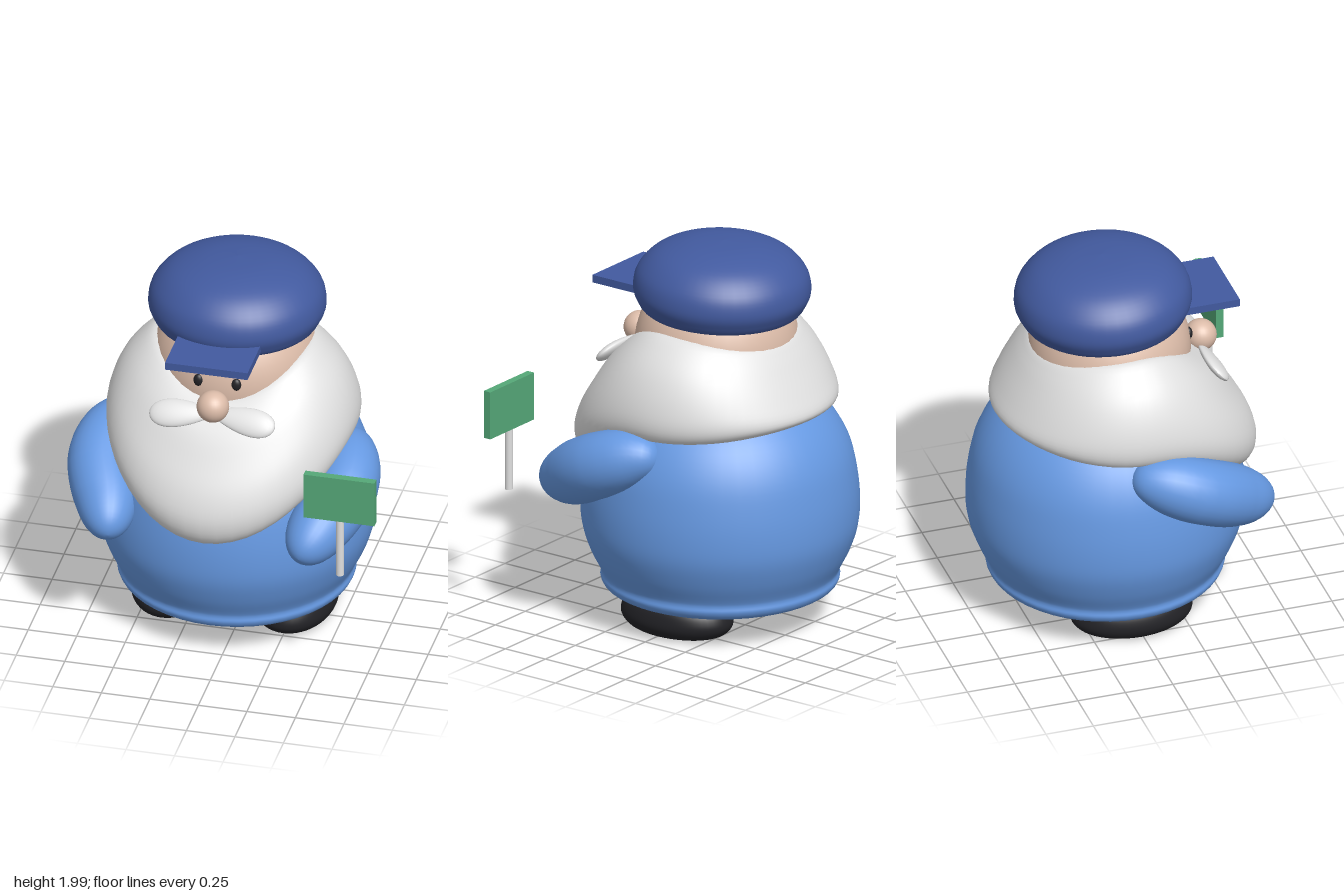
import * as THREE from 'three';

const CX = -0.06; // the figure's own middle plane

const mat = (name, color) => {
  const m = new THREE.MeshStandardMaterial({ color });
  m.name = name;
  return m;
};

// Skin a list of closed rings (each an array of Vector3) into a smooth surface
function loft(rings) {
  const n = rings[0].length, pos = [], idx = [];
  rings.forEach(r => r.forEach(p => pos.push(p.x, p.y, p.z)));
  for (let i = 0; i < rings.length - 1; i++) {
    for (let j = 0; j < n; j++) {
      const k = (j + 1) % n;
      const a = i * n + j, b = a + n, c = i * n + k, d = c + n;
      idx.push(a, b, c, c, b, d);
    }
  }
  const g = new THREE.BufferGeometry();
  g.setAttribute('position', new THREE.Float32BufferAttribute(pos, 3));
  g.setIndex(idx);
  g.computeVertexNormals();
  return g;
}

const spline = (pts, n) =>
  new THREE.SplineCurve(pts.map(p => new THREE.Vector2(...p))).getPoints(n)
    .map(p => new THREE.Vector2(Math.max(p.x, 0), p.y));
const turned = (pts, n = 40) => new THREE.LatheGeometry(spline(pts, n), 48);

// Beard: front, side and back profiles (radius, height) blended around the head
function beardGeometry() {
  const front = spline([[0.3, 1.42], [0.37, 1.42], [0.5, 1.31], [0.6, 1.16], [0.68, 1.02], [0.715, 0.89], [0.69, 0.78], [0.61, 0.725], [0.45, 0.75]], 32);
  const side = spline([[0.33, 1.58], [0.405, 1.59], [0.49, 1.52], [0.56, 1.43], [0.61, 1.32], [0.635, 1.21], [0.625, 1.13], [0.58, 1.09], [0.45, 1.1]], 32);
  const back = spline([[0.33, 1.51], [0.415, 1.525], [0.47, 1.47], [0.53, 1.38], [0.59, 1.28], [0.63, 1.2], [0.615, 1.16], [0.55, 1.135], [0.42, 1.14]], 32);
  const rings = front.map((f, i) => {
    const ring = [];
    for (let j = 0; j < 56; j++) {
      const a = j / 56 * Math.PI * 2, w = Math.cos(a) ** 2;
      const p = side[i].clone().lerp(Math.cos(a) > 0 ? f : back[i], w);
      ring.push(new THREE.Vector3(CX + p.x * Math.sin(a), p.y, p.x * Math.cos(a)));
    }
    return ring;
  });
  return loft(rings);
}

// Arm: rounded sausage along a curve; s = -1 right, +1 left
function armGeometry(s) {
  const path = new THREE.CatmullRomCurve3(
    [[0.56, 1.0, -0.1], [0.6, 0.995, 0.02], [0.625, 0.91, 0.25], [0.54, 0.79, 0.48], [0.49, 0.72, 0.66]]
      .map(([x, y, z]) => new THREE.Vector3(CX + s * x, y, z)));
  const N = 32, frames = path.computeFrenetFrames(N), rings = [];
  for (let i = 0; i <= N; i++) {
    // ends sampled more closely so the tips are round
    const t = (1 - Math.cos(i / N * Math.PI)) / 2;
    const f = Math.round(t * N);
    const r = 0.168 * Math.sqrt(Math.max(1 - Math.abs(2 * t - 1) ** 2.8, 1e-5));
    const c = path.getPointAt(t), ring = [];
    for (let j = 0; j < 28; j++) {
      const a = j / 28 * Math.PI * 2;
      ring.push(c.clone()
        .addScaledVector(frames.normals[f], r * Math.cos(a))
        .addScaledVector(frames.binormals[f], -r * Math.sin(a)));
    }
    rings.push(ring);
  }
  return loft(rings);
}

// Moustache half: flat teardrop, narrow towards the nose
function moustacheGeometry(s) {
  const g = new THREE.SphereGeometry(1, 32, 20), p = g.attributes.position;
  for (let i = 0; i < p.count; i++) {
    const k = 0.78 + 0.3 * s * p.getX(i);
    p.setXYZ(i, p.getX(i) * 0.165, p.getY(i) * 0.088 * k, p.getZ(i) * 0.036 * k);
  }
  g.computeVertexNormals();
  return g;
}

export function createModel() {
  const group = new THREE.Group();
  group.name = 'beardedFigure';
  const blue = mat('coatBlue', 0x6699e2), navy = mat('capNavy', 0x425a9f);
  const skin = mat('skin', 0xdcbca9), white = mat('beardWhite', 0xe0e0e0);
  const black = mat('black', 0x222226), green = mat('signGreen', 0x55a878);

  const add = (name, geometry, material, x, y, z) => {
    const m = new THREE.Mesh(geometry, material);
    m.name = name;
    m.position.set(x, y, z);
    group.add(m);
    return m;
  };

  // Coat with a rolled hem
  add('body', turned([[0, 0.155], [0.3, 0.155], [0.5, 0.163], [0.575, 0.185], [0.6, 0.22], [0.597, 0.25],
    [0.605, 0.28], [0.65, 0.37], [0.69, 0.49], [0.7, 0.61], [0.69, 0.75], [0.66, 0.9], [0.6, 1.03],
    [0.51, 1.14], [0.38, 1.24], [0, 1.3]], 60), blue, CX, 0, -0.05);

  // Head, nose and beard
  add('head', new THREE.SphereGeometry(0.41, 40, 28), skin, CX, 1.45, -0.03).scale.x = 1.02;
  add('nose', new THREE.SphereGeometry(0.082, 28, 20), skin, CX, 1.425, 0.452);
  add('beard', beardGeometry(), white, 0, 0, 0);

  // Cap and visor
  const cap = add('cap', turned([[0, -0.13], [0.2, -0.13], [0.375, -0.128], [0.43, -0.07], [0.447, 0],
    [0.42, 0.09], [0.33, 0.175], [0.18, 0.225], [0, 0.24]]), navy, CX, 1.76, -0.062);
  cap.rotation.x = -0.04;
  add('visor', new THREE.BoxGeometry(0.425, 0.04, 0.33), navy, CX, 1.711, 0.425);

  for (const s of [-1, 1]) {
    const sideName = s < 0 ? 'right' : 'left';

    add(sideName + 'Eye', new THREE.SphereGeometry(1, 20, 14), black, CX + s * 0.097, 1.51, 0.357)
      .scale.set(0.026, 0.034, 0.02);

    const half = add(sideName + 'Moustache', moustacheGeometry(s), white, CX + s * 0.16, 1.367, 0.458);
    half.rotation.set(-0.75, 0, -s * 0.12);

    add(sideName + 'Arm', armGeometry(s), blue, 0, 0, 0);

    add(sideName + 'Shoe', turned([[0, 0.025], [0.1, 0.006], [0.17, 0.018], [0.205, 0.06], [0.208, 0.11],
      [0.185, 0.165], [0.12, 0.2], [0, 0.215]]), black, CX + s * 0.313, 0, -0.015).scale.z = 1.5;
  }

  // Sign on a stick
  add('signBoard', new THREE.BoxGeometry(0.365, 0.25, 0.04), green, 0.663, 1.155, 0.73);
  add('signStick', new THREE.CylinderGeometry(0.02, 0.02, 0.33, 20), white, 0.663, 0.875, 0.73);

  return group;
}
